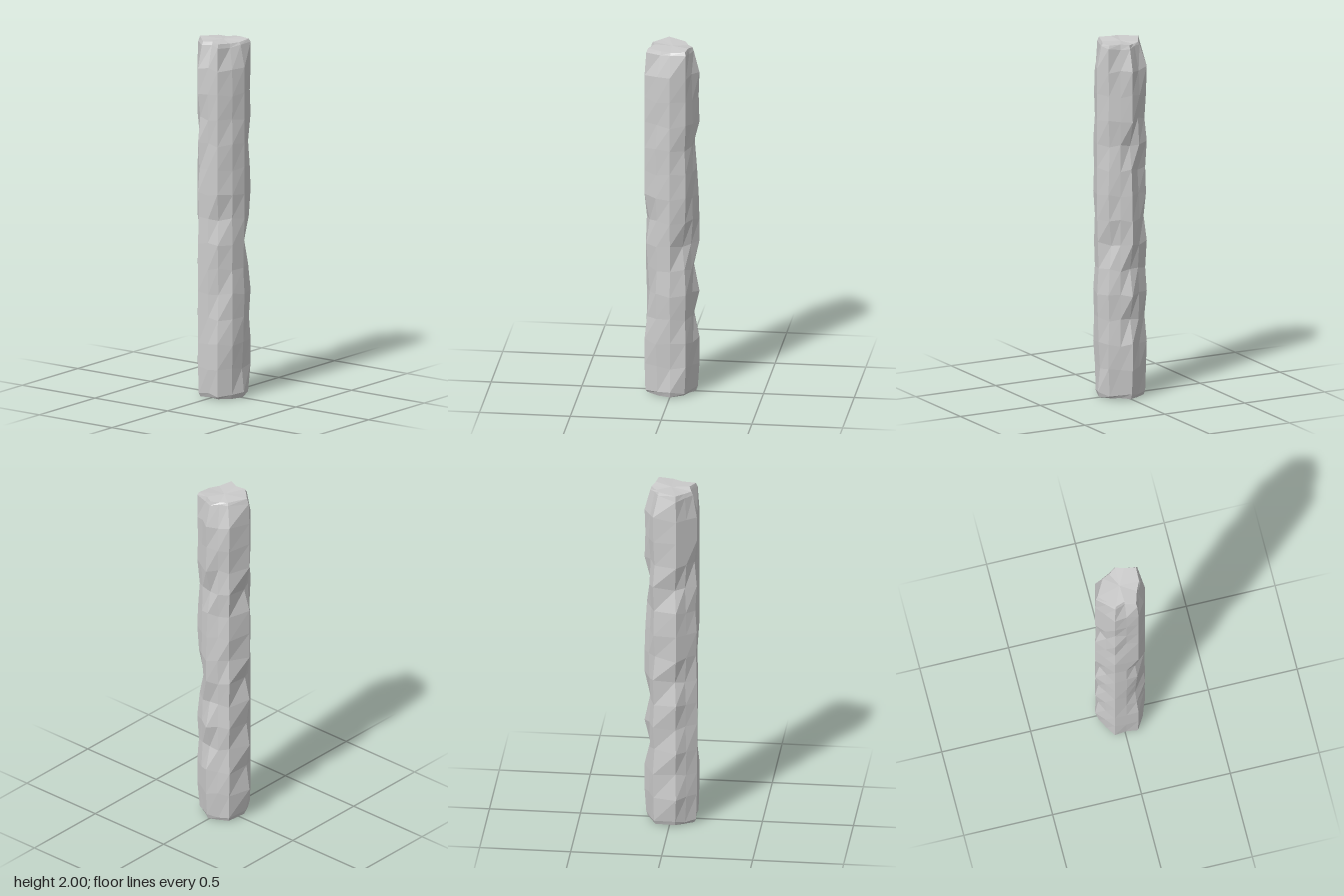
import * as THREE from 'three';

// Corners of the log's outline: [x, z, dents], counter-clockwise from above.
// Each digit is how far that corner is hewn inwards, one per ring from bottom to top.
const CORNERS = [
  [-0.062, 0.146, '100000010203005'],
  [0.005, 0.146, '200110010021019'],
  [0.071, 0.146, '100364260000002'],
  [0.125, 0.078, '320102120102129'],
  [0.145, -0.002, '142102100000006'],
  [0.125, -0.09, '411314931241211'],
  [0.063, -0.119, '310212301120126'],
  [0.004, -0.148, '200707001380107'],
  [-0.056, -0.119, '301213102413029'],
  [-0.116, -0.09, '210302041203109'],
  [-0.147, 0.04, '504040600070001'],
  [-0.104, 0.093, '301021300130003'],
];
const DENT = 0.03;
const RINGS = 15;

// Height of a ring's corner, with a slight waver along the middle of the log
function heightAt(ring, i) {
  if (ring === 0) return 0.025 + 0.008 * Math.sin(i * 2.1);
  if (ring === RINGS - 1) return 1.975 + 0.007 * Math.sin(i * 1.7);
  return 0.03 + ring * 0.14 + 0.008 * Math.sin(i * 2.3 + ring * 1.9);
}

function ringPoints(ring) {
  return CORNERS.map(([x, z, dents], i) => {
    const s = 1 - DENT * Number(dents[ring]);
    return new THREE.Vector3(x * s, heightAt(ring, i), z * s);
  });
}

// Smaller copy of an end ring, forming the edge of the cut face
function capPoints(ring, y, tilt) {
  return ring.map((p, i) => new THREE.Vector3(p.x * 0.93, y + tilt * Math.sin(i * 1.4), p.z * 0.93));
}

function buildLog() {
  const body = Array.from({ length: RINGS }, (_, r) => ringPoints(r));
  const rings = [
    capPoints(body[0], 0.004, 0.004),
    ...body,
    capPoints(body[RINGS - 1], 1.995, 0.005),
  ];
  const n = CORNERS.length;
  const positions = [];
  const triangle = (...points) => points.forEach((p) => positions.push(p.x, p.y, p.z));

  // Hewn sides and chamfered ends
  for (let r = 0; r < rings.length - 1; r++) {
    for (let i = 0; i < n; i++) {
      const j = (i + 1) % n;
      triangle(rings[r][i], rings[r][j], rings[r + 1][j]);
      triangle(rings[r][i], rings[r + 1][j], rings[r + 1][i]);
    }
  }

  // Cut faces
  const bottom = rings[0];
  const top = rings[rings.length - 1];
  const bottomCentre = new THREE.Vector3(0, 0.004, 0);
  const topCentre = new THREE.Vector3(0, 1.995, 0);
  for (let i = 0; i < n; i++) {
    const j = (i + 1) % n;
    triangle(bottomCentre, bottom[j], bottom[i]);
    triangle(topCentre, top[i], top[j]);
  }

  const geometry = new THREE.BufferGeometry();
  geometry.setAttribute('position', new THREE.Float32BufferAttribute(positions, 3));
  geometry.computeVertexNormals();
  return geometry;
}

export function createModel() {
  const group = new THREE.Group();
  group.name = 'woodenPost';
  const material = new THREE.MeshStandardMaterial({ color: 0xcccccc, flatShading: true });
  const log = new THREE.Mesh(buildLog(), material);
  log.name = 'log';
  group.add(log);
  return group;
}
